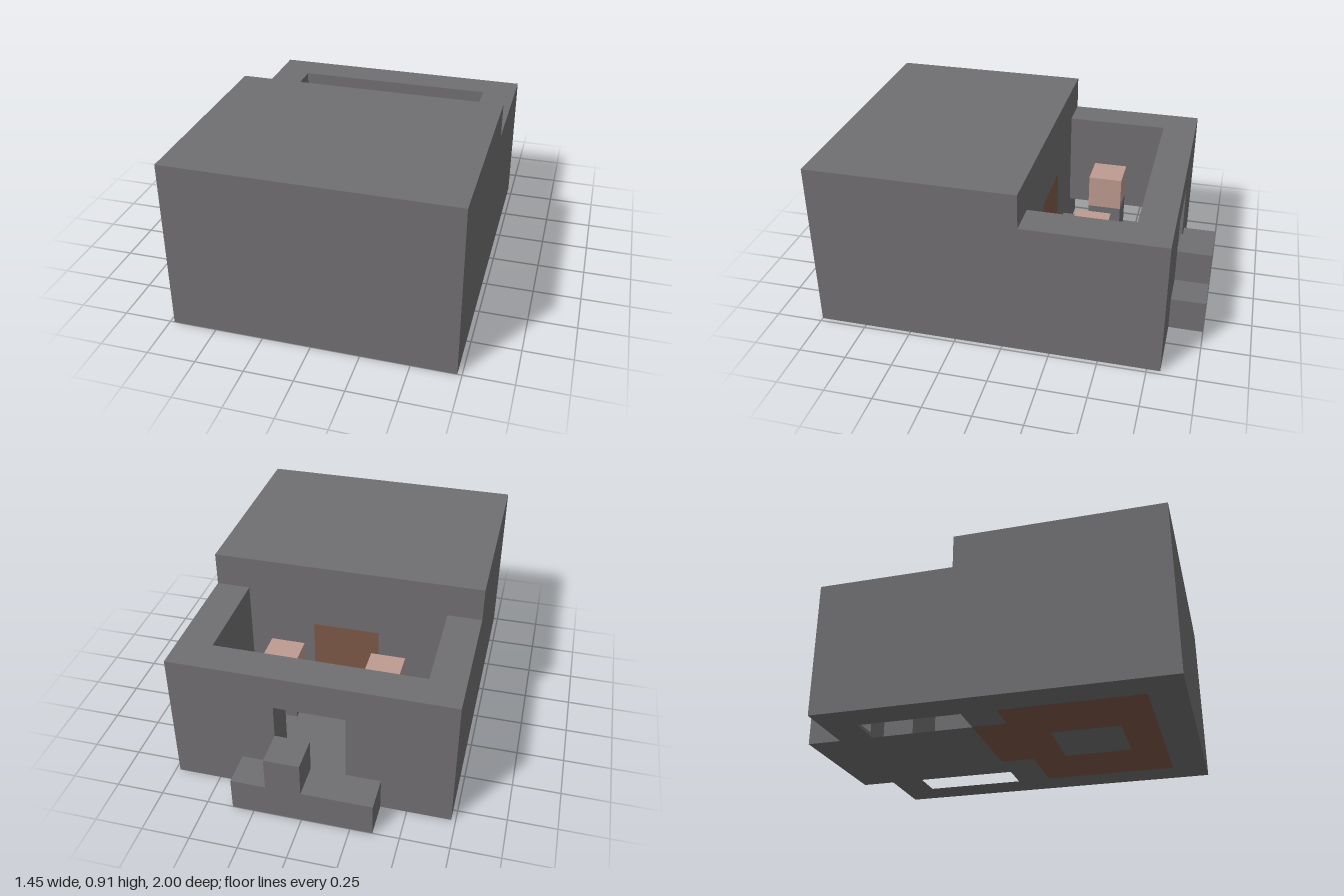
import * as THREE from 'three';

const U = 2 / 11; // one block; all sizes below are in blocks, z counted from the back

export function createModel() {
  const stone = new THREE.MeshStandardMaterial({ name: 'stone grey', color: 0x706e71 });
  const wood = new THREE.MeshStandardMaterial({ name: 'wood brown', color: 0x7d5848 });
  const pink = new THREE.MeshStandardMaterial({ name: 'dusty pink', color: 0xbd9a91 });
  const model = new THREE.Group();
  model.name = 'blockBuilding';

  const add = (name, geometry, material) => {
    geometry.scale(U, U, U).translate(0, 0, -1);
    const mesh = new THREE.Mesh(geometry, material);
    mesh.name = name;
    model.add(mesh);
  };
  const box = (name, material, [x0, x1], [y0, y1], [z0, z1]) => {
    const g = new THREE.BoxGeometry(x1 - x0, y1 - y0, z1 - z0);
    add(name, g.translate((x0 + x1) / 2, (y0 + y1) / 2, (z0 + z1) / 2), material);
  };
  const path = (points) => points.map(([a, b]) => new THREE.Vector2(a, b));
  const rect = (x0, x1, y0, y1) => [[x0, y0], [x1, y0], [x1, y1], [x0, y1]];
  const extrude = (outline, holes) => {
    const shape = new THREE.Shape(path(outline));
    holes.forEach((h) => shape.holes.push(new THREE.Path(path(h))));
    return new THREE.ExtrudeGeometry(shape, { depth: 1, bevelEnabled: false });
  };
  // One-block slab from a plan in (x, z), resting at y
  const slab = (name, material, y, outline, holes = []) => {
    const flip = (pts) => pts.map(([x, z]) => [x, -z]);
    add(name, extrude(flip(outline), holes.map(flip)).rotateX(-Math.PI / 2).translate(0, y, 0), material);
  };
  // One-block wall from an elevation in (x, y), starting at z
  const wall = (name, z, outline) => add(name, extrude(outline, []).translate(0, 0, z), stone);

  // Ground layer: yard with two pits, room foundation, wooden floor and centre patch
  slab('yardFloor', stone, 0, rect(-4, 4, 1, 5), [rect(-3, -2, 2, 5), rect(2, 3, 2, 5)]);
  slab('roomFoundation', stone, 0, [[-4, 5], [-4, 11], [4, 11], [4, 5], [1, 5], [1, 6],
    [3, 6], [3, 10], [-3, 10], [-3, 6], [-2, 6], [-2, 5]]);
  slab('woodenFloor', wood, 0, [[-3, 6], [-3, 10], [3, 10], [3, 6], [1, 6], [1, 5], [-2, 5], [-2, 6]],
    [rect(-1, 1, 7, 9)]);
  box('floorPatch', stone, [-1, 1], [0, 1], [7, 9]);

  // Outer walls, with a doorway in the back wall and in the divider
  box('leftWall', stone, [3, 4], [1, 4], [1, 11]);
  box('rightWall', stone, [-4, -3], [1, 4], [1, 11]);
  box('frontWall', stone, [-3, 3], [1, 4], [10, 11]);
  const doorway = [[-3, 1], [-1, 1], [-1, 3], [1, 3], [1, 1], [3, 1], [3, 4], [-3, 4]];
  wall('backWall', 1, doorway);
  wall('dividerWall', 5, doorway);
  box('door', wood, [-1, 1], [1, 3], [5, 6]);
  box('roof', stone, [-4, 4], [4, 5], [5, 11]);

  // Pair of pillars in the yard
  for (const [side, x] of [['left', [1, 2]], ['right', [-2, -1]]]) {
    box(side + 'Pillar', stone, x, [1, 2], [3, 4]);
    box(side + 'PillarCap', pink, x, [2, 3], [3, 4]);
  }

  // Back step with a raised block
  box('backStep', stone, [-2, 2], [0, 1], [0, 1]);
  box('stepBlock', stone, [0, 1], [1, 2], [0, 1]);

  return model;
}
